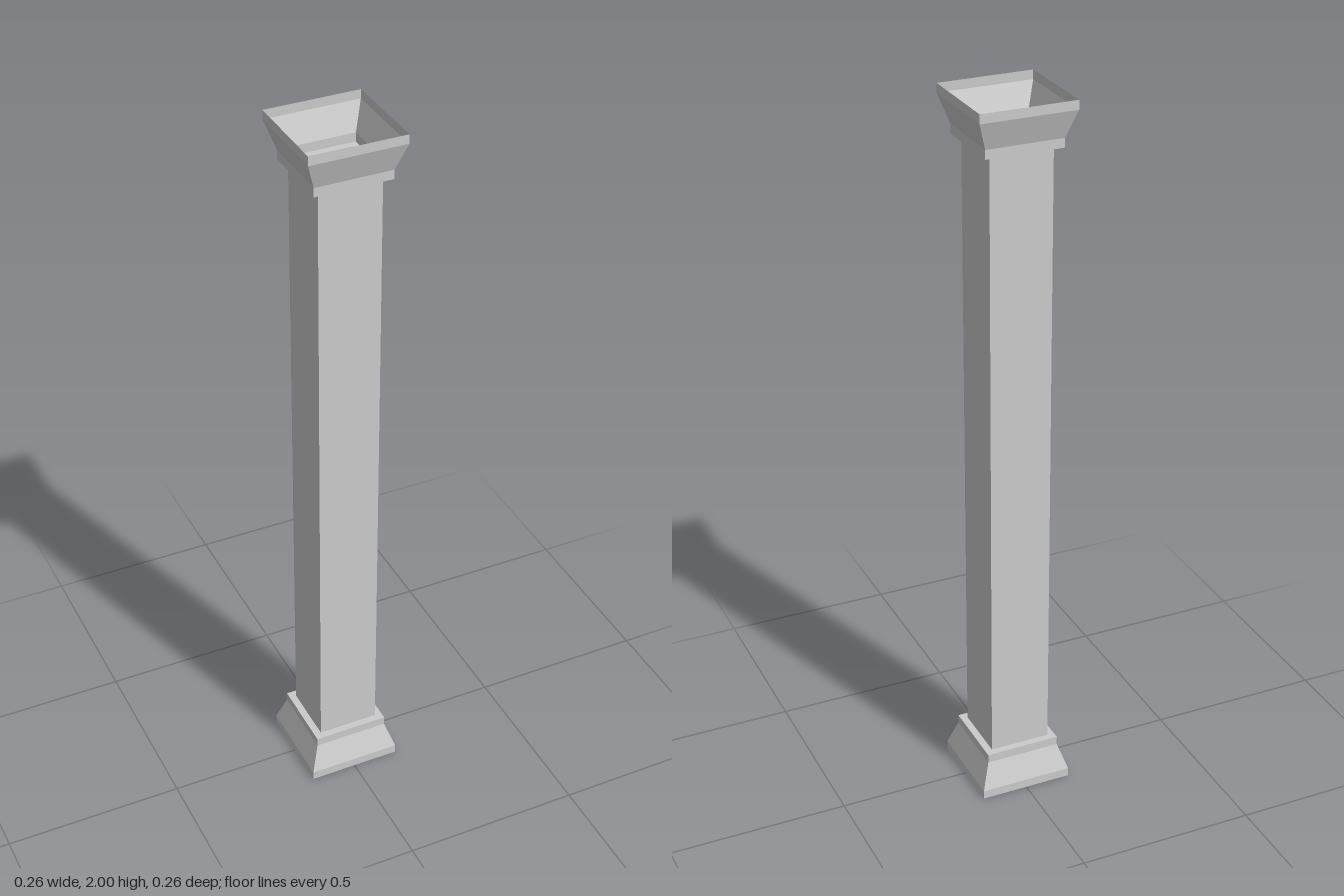
import * as THREE from 'three';

const HEIGHT = 2;
const SHAFT = 0.086; // half width of the shaft
// Half width and height of the base moulding, from the floor to the shaft
const MOULDING = [[0.131, 0], [0.131, 0.025], [0.106, 0.1], [0.106, 0.125], [SHAFT, 0.125]];

const material = new THREE.MeshStandardMaterial({
  color: 0xcccccc, flatShading: true, side: THREE.DoubleSide,
});

// Open square shell swept from a [half width, height] profile
function squareShell(name, profile) {
  const points = profile.map(([w, y]) => new THREE.Vector2(w * Math.SQRT2, y));
  const geometry = new THREE.LatheGeometry(points, 4, Math.PI / 4).toNonIndexed();
  geometry.computeVertexNormals();
  const mesh = new THREE.Mesh(geometry, material);
  mesh.name = name;
  return mesh;
}

export function createModel() {
  const column = new THREE.Group();
  column.name = 'column';

  // The capital is the base moulding turned upside down
  const capital = MOULDING.map(([w, y]) => [w, HEIGHT - y]).reverse();

  column.add(
    squareShell('base', MOULDING),
    squareShell('shaft', [[SHAFT, 0.125], [SHAFT, HEIGHT - 0.125]]),
    squareShell('capital', capital),
  );
  return column;
}
